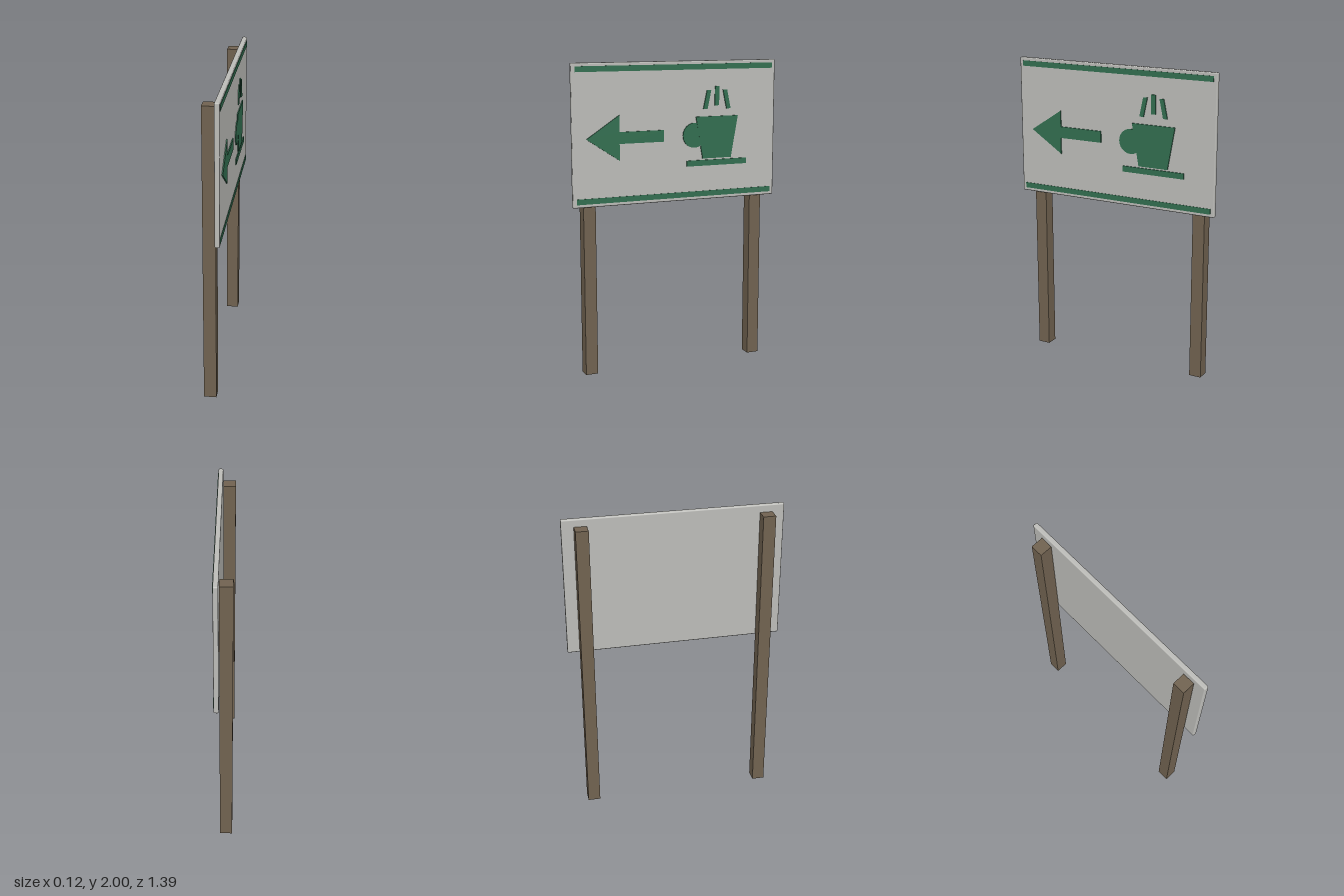
import * as THREE from 'three';
import { RoundedBoxGeometry } from 'three/addons/geometries/RoundedBoxGeometry.js';

const mat = (name, color) => {
  const m = new THREE.MeshStandardMaterial({ color });
  m.name = name;
  return m;
};

export function createModel() {
  const wood = mat('brown wood', 0x706250);
  const grey = mat('light grey panel', 0xbcbcb8);
  const green = mat('sign green', 0x326e50);
  const group = new THREE.Group();
  group.name = 'signpost';

  const add = (name, geometry, material, x = 0, y = 0, z = 0) => {
    const mesh = new THREE.Mesh(geometry, material);
    mesh.name = name;
    mesh.position.set(x, y, z);
    group.add(mesh);
    return mesh;
  };

  // Two square posts behind the panel
  for (const s of [1, -1]) {
    add(s > 0 ? 'frontPost' : 'backPost', new THREE.BoxGeometry(0.08, 1.953, 0.08), wood, -0.022, 0.9765, s * 0.58);
  }

  // Panel with softened edges, facing +x
  add('panel', new RoundedBoxGeometry(0.031, 0.895, 1.394, 2, 0.008), grey, 0.0365, 1.5525, 0);

  // Stripes along the top and bottom edges
  for (const [name, y] of [['topStripe', 1.962], ['bottomStripe', 1.143]]) {
    add(name, new THREE.BoxGeometry(0.006, 0.035, 1.346), green, 0.052, y, 0);
  }

  // Thin plates drawn as seen from +x (u runs toward -z, v is height)
  const plate = (name, shape) => {
    const g = new THREE.ExtrudeGeometry(shape, { depth: 0.008, bevelEnabled: false, curveSegments: 12 });
    g.rotateY(Math.PI / 2);
    return add(name, g, green, 0.051);
  };
  const poly = (...pts) => new THREE.Shape(pts.map(([u, v]) => new THREE.Vector2(u, v)));

  plate('arrow', poly(
    [-0.607, 1.532], [-0.39, 1.389], [-0.39, 1.495], [-0.093, 1.495],
    [-0.093, 1.569], [-0.39, 1.569], [-0.39, 1.675]));

  // Cup, handle and saucer
  plate('cup', poly([0.178, 1.373], [0.379, 1.373], [0.427, 1.644], [0.13, 1.644]));
  const handle = new THREE.Shape();
  handle.absarc(0.12, 1.526, 0.08, 0, Math.PI * 2);
  plate('cupHandle', handle).position.x -= 0.0005;
  plate('saucer', poly([0.066, 1.326], [0.49, 1.326], [0.49, 1.363], [0.066, 1.363]));

  // Three strokes of steam: bottom u, top u, bottom v, top v
  for (const [name, b, t, v0, v1] of [
    ['steamLeft', 0.196, 0.222, 1.691, 1.813],
    ['steamMiddle', 0.278, 0.278, 1.713, 1.835],
    ['steamRight', 0.36, 0.334, 1.691, 1.813],
  ]) {
    const h = 0.0145;
    plate(name, poly([b - h, v0], [b + h, v0], [t + h, v1], [t - h, v1]));
  }

  return group;
}
